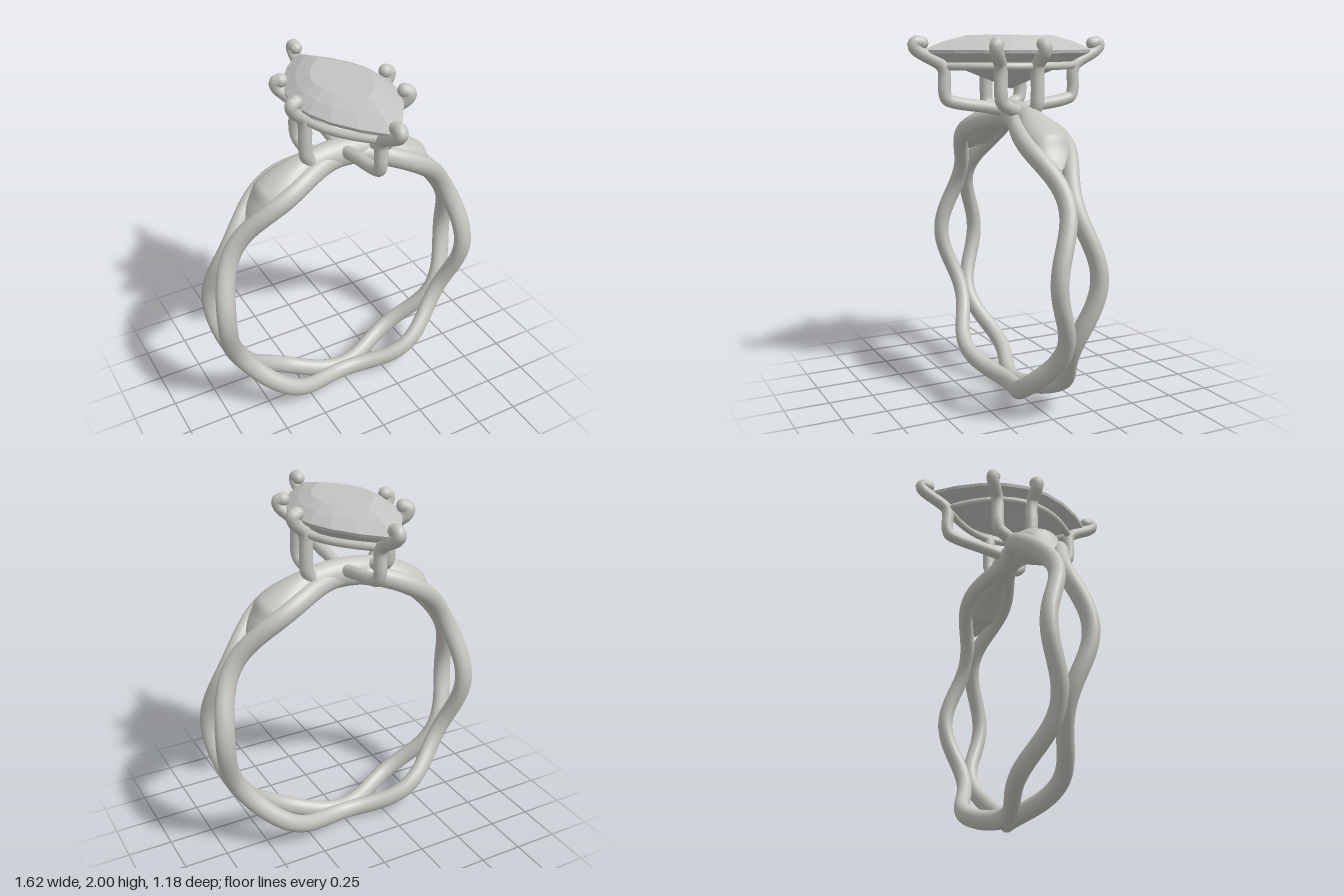
import * as THREE from 'three';

const metal = new THREE.MeshStandardMaterial({ color: 0xc6c4bf });
metal.name = 'polished metal';
const stone = new THREE.MeshStandardMaterial({ color: 0xc3c3c1 });
stone.name = 'pale stone';

const CENTRE_Y = 0.808;
const V = (x, y, z) => new THREE.Vector3(x, y, z);

function add(parent, name, geometry, material = metal) {
  const mesh = new THREE.Mesh(geometry, material);
  mesh.name = name;
  parent.add(mesh);
  return mesh;
}

// Joins equal-length rings of points into a skin
function skin(rings, closed = false) {
  const n = rings[0].length, m = rings.length, index = [];
  for (let i = 0; i < (closed ? m : m - 1); i++) {
    for (let j = 0; j < n; j++) {
      const a = i * n + j, b = i * n + (j + 1) % n;
      const c = ((i + 1) % m) * n + j, d = ((i + 1) % m) * n + (j + 1) % n;
      index.push(a, b, c, b, d, c);
    }
  }
  const g = new THREE.BufferGeometry().setFromPoints(rings.flat());
  g.setIndex(index);
  g.computeVertexNormals();
  return g;
}

// Oval section across a path that runs round the finger
function section(centre, tangent, theta, radial, across, sides) {
  const out = V(Math.cos(theta), Math.sin(theta), 0);
  const side = tangent.clone().normalize().cross(out).normalize();
  return Array.from({ length: sides }, (_, j) => {
    const a = (j / sides) * Math.PI * 2;
    return centre.clone()
      .addScaledVector(out, Math.cos(a) * radial)
      .addScaledVector(side, Math.sin(a) * across);
  });
}

const onBand = (theta, r, z) => V(Math.cos(theta) * r, CENTRE_Y + Math.sin(theta) * r, z);
const strandZ = (theta) => 0.067 + 0.045 * Math.cos(6 * theta);

// One wavy strand of the band
function strand(sign) {
  const rings = [], steps = 192;
  const at = (t) => onBand(t, 0.755, sign * strandZ(t));
  for (let i = 0; i < steps; i++) {
    const t = (i / steps) * Math.PI * 2;
    const tangent = at(t + 0.005).sub(at(t - 0.005));
    rings.push(section(at(t), tangent, t, 0.053, 0.043, 20));
  }
  return skin(rings, true);
}

// Solid shoulder filling the openings under the setting
function shoulder() {
  const rings = [], steps = 80, half = THREE.MathUtils.degToRad(47);
  for (let i = 0; i <= steps; i++) {
    const offset = (i / steps * 2 - 1) * half;
    const t = Math.PI / 2 + offset;
    const deg = THREE.MathUtils.radToDeg(half - Math.abs(offset));
    const taper = deg < 8 ? 0.55 * deg / 8 : 0.55 + 0.45 * Math.min(1, (deg - 8) / 4);
    const width = Math.max(0.07, strandZ(t)) * Math.min(1, deg / 4);
    const tangent = V(-Math.sin(t), Math.cos(t), 0);
    rings.push(section(onBand(t, 0.771, 0), tangent, t, 0.08 * taper, width, 24));
  }
  return skin(rings);
}

// Pointed-oval outline, wound so that stacking upward faces outward
function pointedOval(a, b, y, segments = 8) {
  const points = [];
  for (const s of [1, -1]) {
    for (let i = 0; i < segments; i++) {
      const t = s * (1 - 2 * i / segments);
      points.push(V(s * a * (1 - t * t), y, t * b));
    }
  }
  return points;
}

// Faceted stone: culet, girdle, crown and table
function stoneGeometry() {
  const tiers = [
    [0, 0, 1.715], [0.268, 0.505, 1.905], [0.272, 0.51, 1.922],
    [0.215, 0.39, 1.967], [0.152, 0.255, 2.0], [0, 0, 2.0],
  ];
  const g = skin(tiers.map(([a, b, y]) => pointedOval(a, b, y))).toNonIndexed();
  g.computeVertexNormals();
  return g;
}

// Claw: a bent wire with rounded ends
function claw(parent, name, points, radius) {
  const group = new THREE.Group();
  group.name = name;
  const curve = new THREE.CatmullRomCurve3(points, false, 'centripetal');
  add(group, 'clawWire', new THREE.TubeGeometry(curve, 72, radius, 14));
  add(group, 'clawTip', new THREE.SphereGeometry(radius, 14, 10)).position.copy(points.at(-1));
  add(group, 'clawFoot', new THREE.SphereGeometry(radius, 14, 10)).position.copy(points[0]);
  parent.add(group);
}

export function createModel() {
  const model = new THREE.Group();
  model.name = 'ring';

  const band = new THREE.Group();
  band.name = 'band';
  add(band, 'frontStrand', strand(1));
  add(band, 'backStrand', strand(-1));
  add(band, 'shoulder', shoulder());
  model.add(band);

  add(model, 'stone', stoneGeometry(), stone);

  // The setting repeats after a half turn
  for (const turn of [0, Math.PI]) {
    const half = new THREE.Group();
    half.name = turn ? 'backSetting' : 'frontSetting';
    half.rotation.y = turn;

    claw(half, 'endClaw', [
      V(0, 1.6, 0.03), V(0, 1.62, 0.14), V(0, 1.65, 0.33), V(0, 1.668, 0.375),
      V(0, 1.71, 0.388), V(0, 1.81, 0.388), V(0, 1.845, 0.405),
      V(0, 1.92, 0.535), V(0, 1.945, 0.555), V(0, 1.962, 0.545), V(0, 1.958, 0.51),
    ], 0.034);

    claw(half, 'cornerClaw', [
      V(0.16, 1.6, 0.03), V(0.18, 1.625, 0.1), V(0.186, 1.65, 0.14), V(0.19, 1.69, 0.152),
      V(0.19, 1.82, 0.152), V(0.2, 1.855, 0.162), V(0.255, 1.915, 0.207),
      V(0.262, 1.945, 0.212), V(0.242, 1.957, 0.196),
    ], 0.036);

    claw(half, 'sideClaw', [
      V(0.2, 1.59, -0.03), V(0.228, 1.64, -0.038), V(0.232, 1.7, -0.04),
      V(0.232, 1.82, -0.04), V(0.242, 1.855, -0.041), V(0.295, 1.91, -0.047),
      V(0.302, 1.94, -0.048), V(0.28, 1.952, -0.046),
    ], 0.036);

    // Gallery rail joining the claws
    const path = [];
    for (let i = 0; i <= 12; i++) {
      const t = 1 - i / 6;
      path.push(V(0.225 * (1 - t * t), 1.838, 0.39 * t));
    }
    const rail = new THREE.CatmullRomCurve3(path);
    add(half, 'galleryRail', new THREE.TubeGeometry(rail, 48, 0.021, 12));
    model.add(half);
  }
  return model;
}
